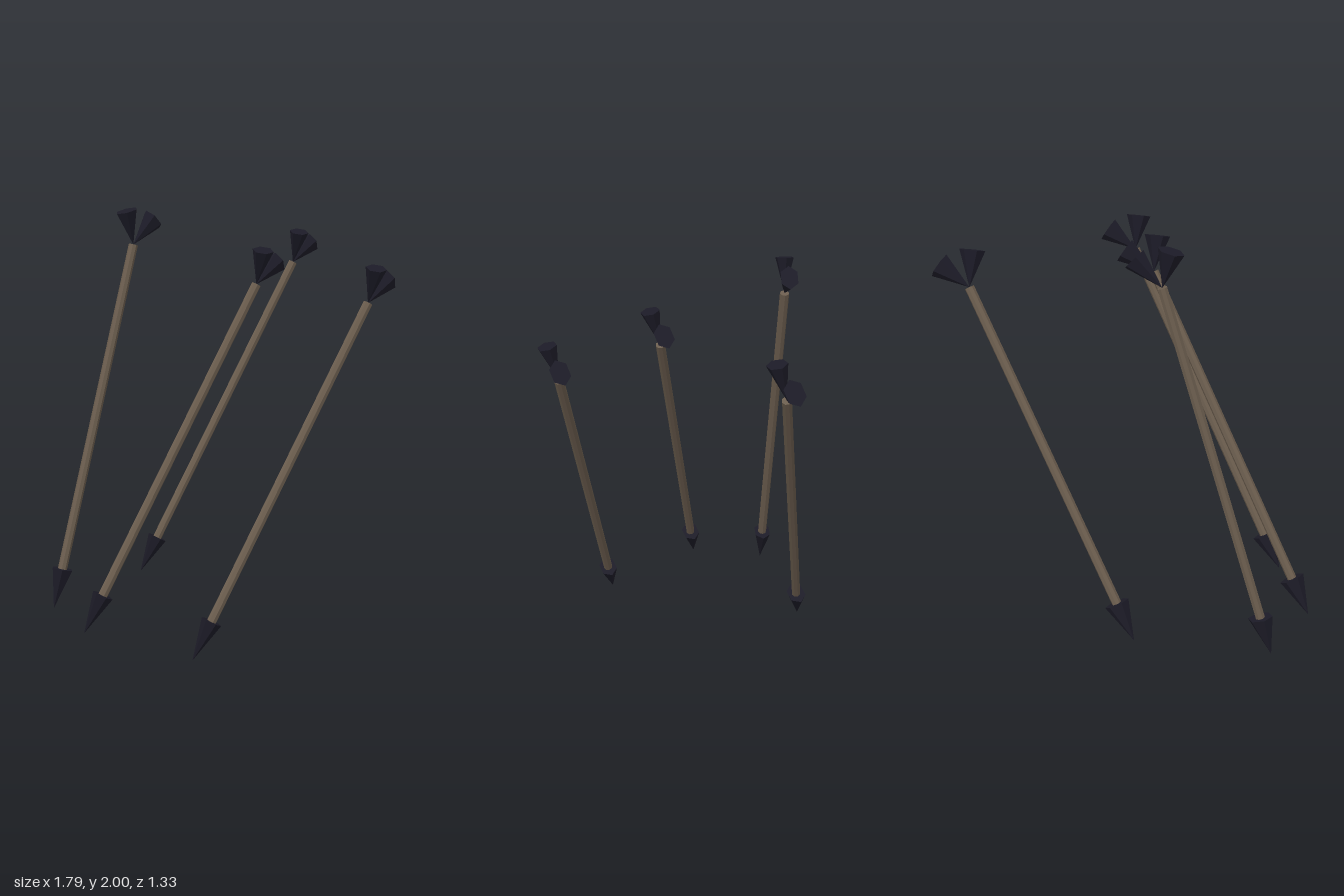
import * as THREE from 'three';

const HEAD = 0.2, FIN = 0.172, LENGTH = 1.84;

export function createModel() {
  const model = new THREE.Group();
  model.name = 'arrows';

  const wood = new THREE.MeshStandardMaterial({ color: 0x6b5d4e, flatShading: true });
  wood.name = 'weathered wood';
  const dark = new THREE.MeshStandardMaterial({ color: 0x1c1b27, flatShading: true });
  dark.name = 'dark iron';

  // Flattened six-sided cone, apex at the origin, opening up along +y
  const hexCone = (length) => new THREE.ConeGeometry(0.061, length, 6)
    .rotateY(Math.PI / 6)
    .scale(1, 1, 0.76)
    .rotateZ(Math.PI)
    .translate(0, length / 2, 0);

  const headGeo = hexCone(HEAD);
  const finGeo = hexCone(FIN);
  const shaftLength = LENGTH - HEAD + 0.01;
  const shaftGeo = new THREE.CylinderGeometry(0.023, 0.023, shaftLength, 8)
    .translate(0, HEAD - 0.01 + shaftLength / 2, 0);

  const add = (parent, name, geometry, material) => {
    const mesh = new THREE.Mesh(geometry, material);
    mesh.name = name;
    parent.add(mesh);
    return mesh;
  };

  // One arrow: tip at the origin, shaft along +y, broad side along x
  function arrow(name, tip, axis, side) {
    const group = new THREE.Group();
    group.name = name;
    add(group, 'arrowHead', headGeo, dark);
    add(group, 'shaft', shaftGeo, wood);
    for (const s of [-1, 1]) {
      const fin = add(group, s < 0 ? 'rightFletching' : 'leftFletching', finGeo, dark);
      fin.position.y = LENGTH;
      fin.rotation.z = -s * Math.PI / 6;
    }
    // Orthonormal frame from the shaft direction and the broad direction
    const y = new THREE.Vector3(...axis).normalize();
    const x = new THREE.Vector3(...side);
    x.addScaledVector(y, -x.dot(y)).normalize();
    const z = new THREE.Vector3().crossVectors(x, y);
    group.quaternion.setFromRotationMatrix(new THREE.Matrix4().makeBasis(x, y, z));
    group.position.set(...tip);
    model.add(group);
  }

  // Three parallel arrows and a steeper one
  const leaning = [0.48, 0.867, 0.135], twisted = [0.85, -0.42, -0.32];
  arrow('frontArrow', [-0.648, 0.002, 0.325], leaning, twisted);
  arrow('middleArrow', [-0.905, 0.065, -0.155], leaning, twisted);
  arrow('backArrow', [-0.168, 0.067, -0.64], leaning, twisted);
  arrow('steepArrow', [-0.81, 0.06, -0.53], [0.297, 0.955, 0], [0.955, -0.297, 0]);

  return model;
}
